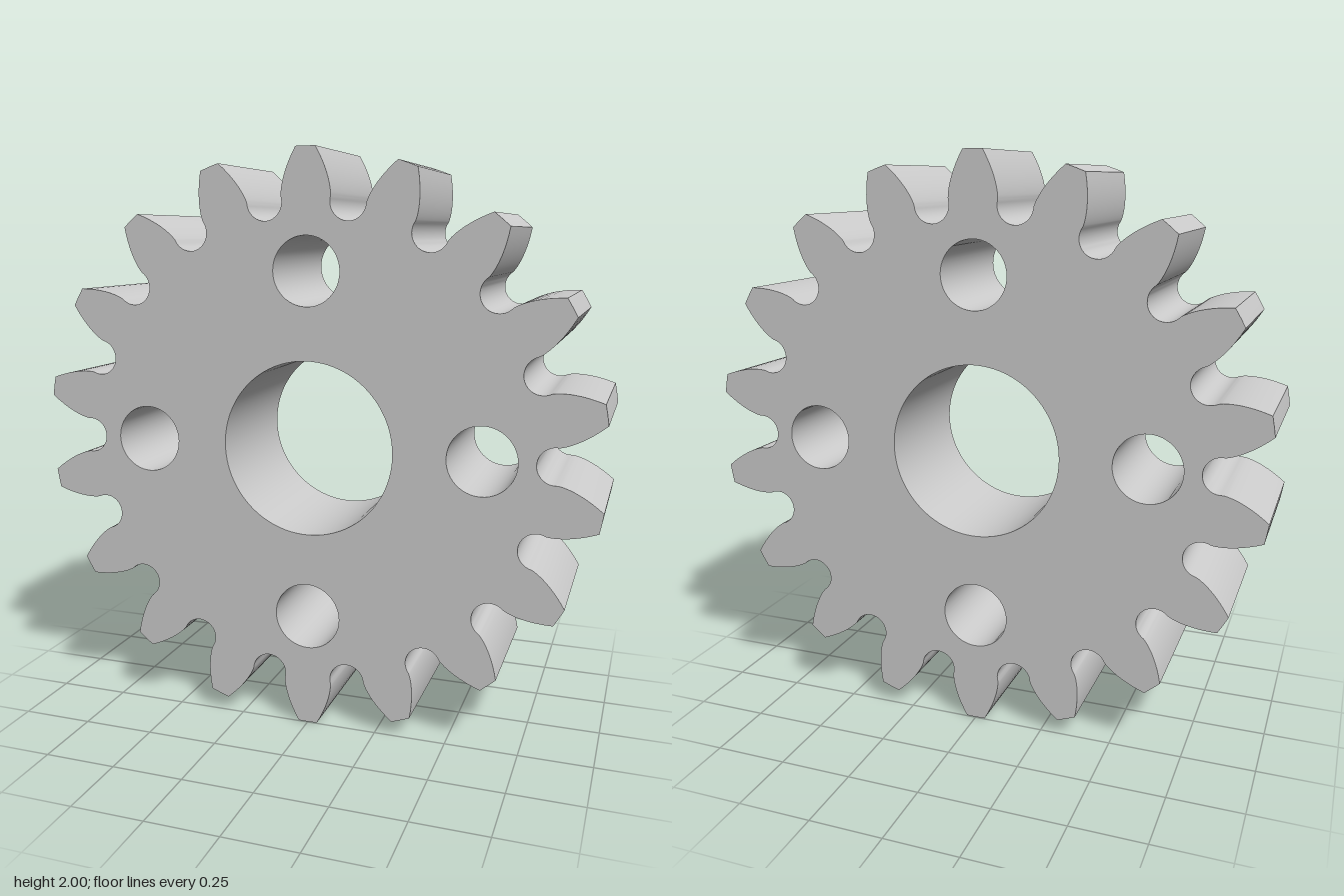
import * as THREE from 'three';
import { toCreasedNormals } from 'three/addons/utils/BufferGeometryUtils.js';

const TEETH = 18, TIP_R = 1, PITCH_R = 0.9, ROOT_R = 0.775, THICKNESS = 0.494;
const PRESSURE = THREE.MathUtils.degToRad(20);
const BASE_R = PITCH_R * Math.cos(PRESSURE);
const involute = (a) => Math.tan(a) - a;
const polar = (r, a) => new THREE.Vector2(r * Math.sin(a), r * Math.cos(a));

// Half the angle a tooth covers at radius r
function toothHalfAngle(r) {
  const a = Math.acos(Math.min(1, BASE_R / r));
  return Math.PI / (2 * TEETH) + involute(PRESSURE) - involute(a);
}

// One tooth (flank, tip, flank) and the round gap after it, centred on +y
function toothPoints() {
  const pts = [], steps = 10;
  const radius = (i) => BASE_R + (TIP_R - BASE_R) * (i / steps) ** 1.5;
  for (let i = 0; i <= steps; i++) pts.push(polar(radius(i), -toothHalfAngle(radius(i))));
  pts.push(polar(TIP_R, 0));
  for (let i = steps; i >= 0; i--) pts.push(polar(radius(i), toothHalfAngle(radius(i))));

  // Circle through both flank feet and the root, in the gap's own axes
  const half = Math.PI / TEETH;
  const foot = polar(BASE_R, half - toothHalfAngle(BASE_R));
  const rise = foot.y - ROOT_R;
  const R = (foot.x ** 2 + rise ** 2) / (2 * rise);
  const sweep = Math.atan2(foot.x, R - rise);
  const arcSteps = 22;
  for (let i = 1; i < arcSteps; i++) {
    const a = -sweep + (2 * sweep * i) / arcSteps;
    const p = new THREE.Vector2(R * Math.sin(a), ROOT_R + R - R * Math.cos(a));
    pts.push(p.rotateAround(new THREE.Vector2(), -half));
  }
  return pts;
}

function circleHole(x, y, r, segments) {
  const pts = [];
  for (let i = 0; i < segments; i++) {
    const a = (i / segments) * Math.PI * 2;
    pts.push(new THREE.Vector2(x + r * Math.cos(a), y + r * Math.sin(a)));
  }
  return new THREE.Path(pts);
}

export function createModel() {
  const group = new THREE.Group();
  group.name = 'spurGear';

  // Toothed outline
  const outline = [];
  const tooth = toothPoints();
  for (let t = 0; t < TEETH; t++) {
    const turn = (-t * 2 * Math.PI) / TEETH;
    for (const p of tooth) outline.push(p.clone().rotateAround(new THREE.Vector2(), turn));
  }
  const shape = new THREE.Shape(outline);

  // Shaft bore and four lightening holes
  shape.holes.push(circleHole(0, 0, 0.302, 96));
  for (let i = 0; i < 4; i++) {
    const a = (i * Math.PI) / 2;
    shape.holes.push(circleHole(0.6 * Math.cos(a), 0.6 * Math.sin(a), 0.117, 48));
  }

  const geometry = new THREE.ExtrudeGeometry(shape, { depth: THICKNESS, bevelEnabled: false });
  geometry.translate(0, TIP_R, -THICKNESS / 2);
  const gear = new THREE.Mesh(
    toCreasedNormals(geometry, 0.5),
    new THREE.MeshStandardMaterial({ color: 0xcccccc })
  );
  gear.name = 'gearBody';
  group.add(gear);
  return group;
}
